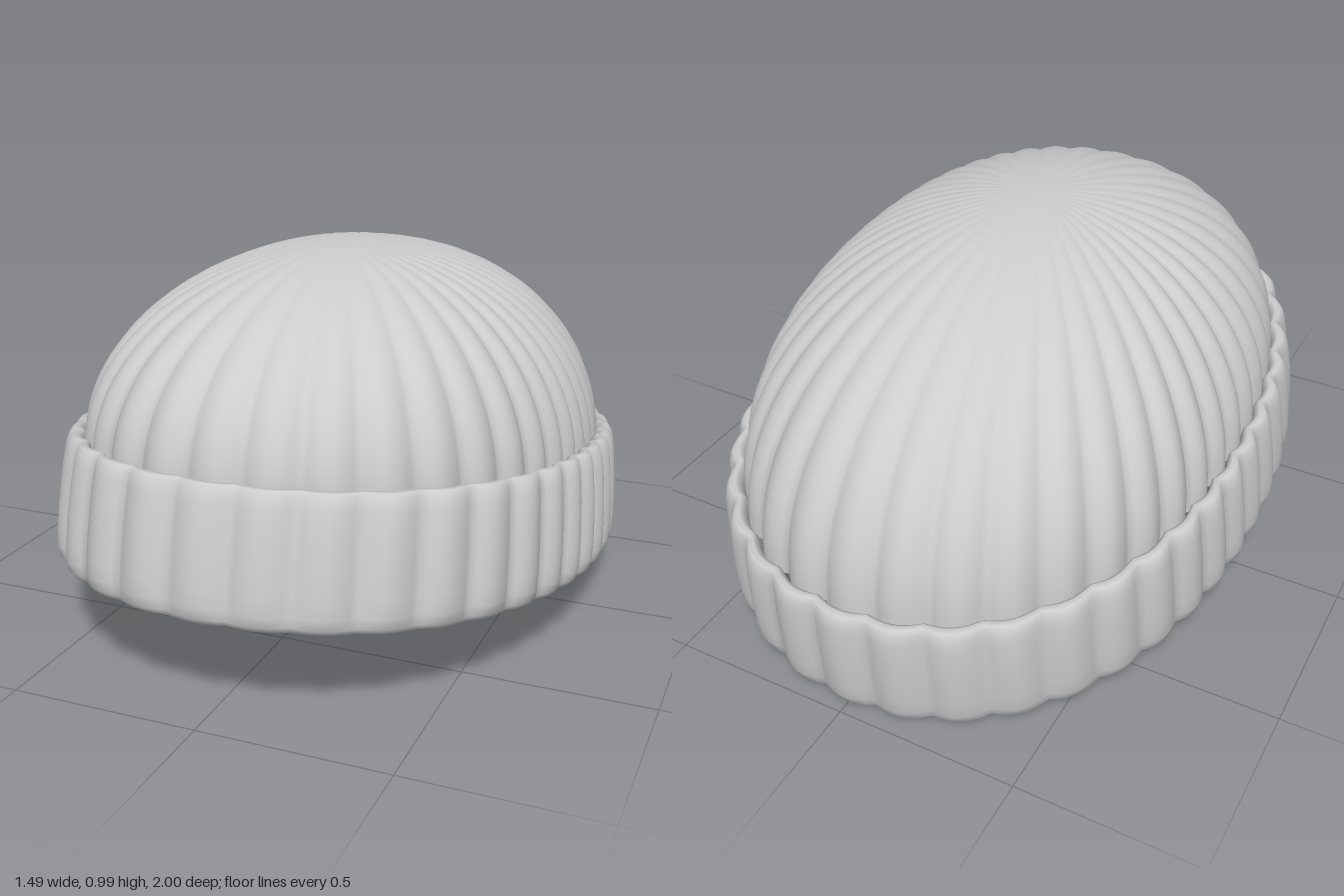
import * as THREE from 'three';

const RIBS = 40, SEGS = RIBS * 8;
const TILT = 0.139;                       // backward lean of the cuff
const APEX = new THREE.Vector3(0, 1, 0.08);

// Scalloped oval point on the tilted cuff frame: inset from the outer oval, height, rib depth
function ovalPoint(theta, inset, height, ribDepth) {
  const p = 2.15, s = Math.sin(theta), c = Math.cos(theta);
  const oval = Math.pow(
    Math.pow(Math.abs(s) / (0.745 - inset), p) + Math.pow(Math.abs(c) / (1 - inset), p), -1 / p);
  const r = oval - ribDepth * (1 - Math.abs(Math.cos(theta * RIBS / 2)));
  return new THREE.Vector3(r * s, height, r * c)
    .applyAxisAngle(new THREE.Vector3(1, 0, 0), -TILT)
    .add(new THREE.Vector3(0, 0.138, 0.014));
}

// Skin a stack of rings; pointAt(ring, theta) gives each vertex
function skin(rings, closed, pointAt) {
  const pos = [], index = [];
  for (let i = 0; i < rings; i++)
    for (let j = 0; j < SEGS; j++)
      pos.push(...pointAt(i, j / SEGS * Math.PI * 2).toArray());
  for (let i = 0; i < (closed ? rings : rings - 1); i++) {
    const k = (i + 1) % rings;
    for (let j = 0; j < SEGS; j++) {
      const n = (j + 1) % SEGS;
      const a = i * SEGS + j, b = i * SEGS + n, c = k * SEGS + n, d = k * SEGS + j;
      index.push(a, b, c, a, c, d);
    }
  }
  const g = new THREE.BufferGeometry();
  g.setAttribute('position', new THREE.Float32BufferAttribute(pos, 3));
  g.setIndex(index);
  g.computeVertexNormals();
  return g;
}

export function createModel() {
  const hat = new THREE.Group();
  hat.name = 'knitHat';
  const wool = new THREE.MeshStandardMaterial({ color: 0xcccccc, side: THREE.DoubleSide });
  wool.name = 'lightGreyWool';

  // Folded cuff: closed section of [inset, height, rib depth], up the outside and down the inside
  const section = [
    [0.042, 0.0, 0.008], [0.022, 0.004, 0.012], [0.008, 0.018, 0.018], [0.001, 0.045, 0.023],
    [0, 0.09, 0.025], [0.003, 0.16, 0.025], [0.009, 0.23, 0.025], [0.017, 0.29, 0.023],
    [0.025, 0.318, 0.021], [0.036, 0.333, 0.018], [0.05, 0.335, 0.015], [0.062, 0.325, 0.013],
    [0.069, 0.3, 0.012], [0.075, 0.22, 0.012], [0.077, 0.12, 0.012], [0.075, 0.05, 0.011],
    [0.069, 0.018, 0.009], [0.057, 0.003, 0.007],
  ];
  const cuff = new THREE.Mesh(
    skin(section.length, true, (i, t) => ovalPoint(t, ...section[i])), wool);
  cuff.name = 'foldedCuff';
  hat.add(cuff);

  // Ribbed crown: rounded sweep from the tilted rim up to the gathered apex
  const RINGS = 30, e = 2 / 2.1;
  const crown = new THREE.Mesh(skin(RINGS, false, (i, t) => {
    const u = i / (RINGS - 1) * Math.PI / 2;
    const r = Math.pow(Math.max(Math.cos(u), 0), e), h = Math.pow(Math.sin(u), e);
    const base = ovalPoint(t, 0.068, 0.28, 0.027);
    return new THREE.Vector3(
      base.x * r,
      base.y + (APEX.y - base.y) * h,
      APEX.z + (base.z - APEX.z) * r);
  }), wool);
  crown.name = 'ribbedCrown';
  hat.add(crown);

  return hat;
}
